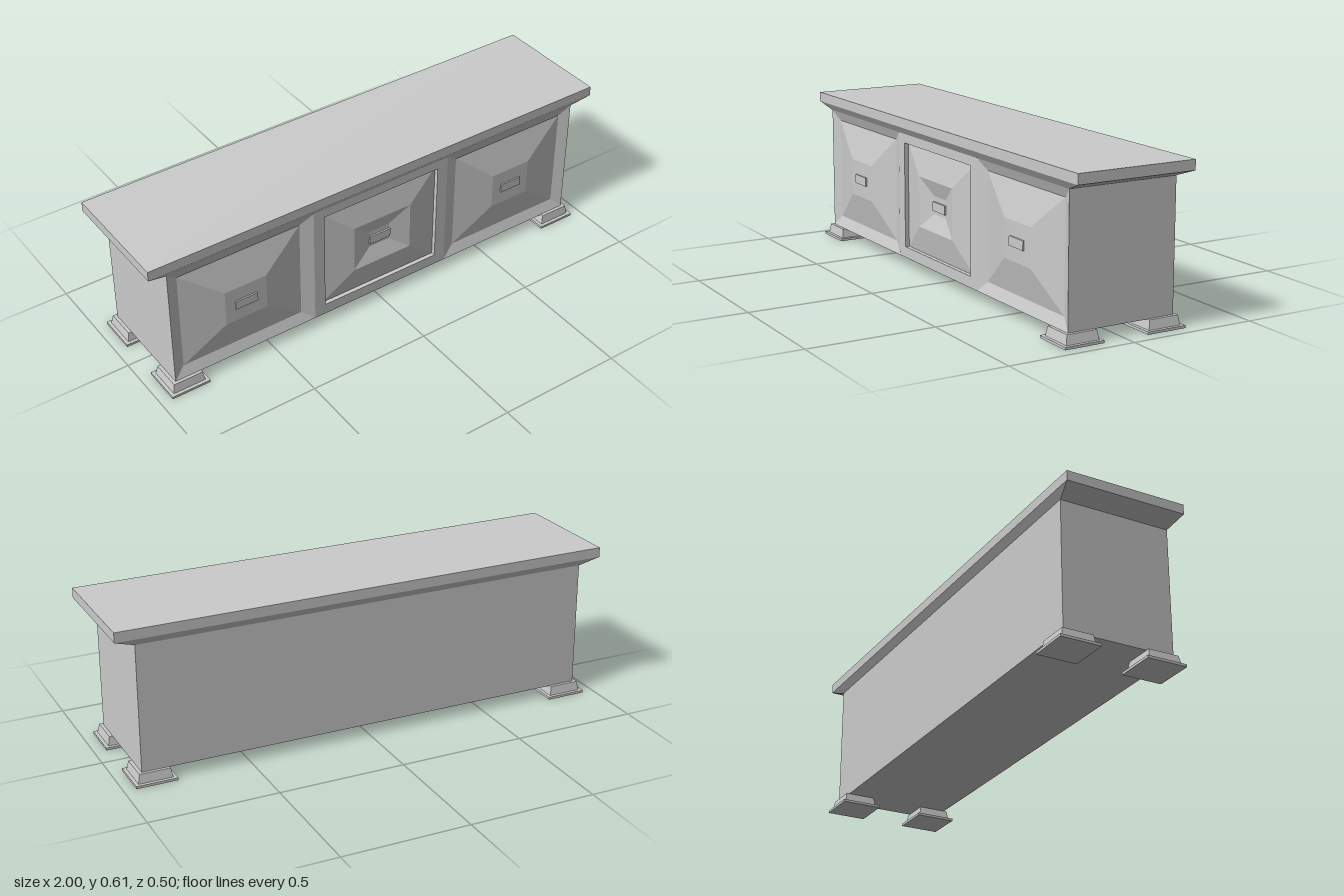
import * as THREE from 'three';

const material = new THREE.MeshStandardMaterial({ color: 0xcccccc, flatShading: true });

// Skin through rectangular rings [cx, cy, halfWidth, halfHeight, z], with optional end caps.
function loft(name, rings, capStart, capEnd) {
  const corners = rings.map(([cx, cy, w, h, z]) => [
    [cx - w, cy - h, z], [cx + w, cy - h, z], [cx + w, cy + h, z], [cx - w, cy + h, z],
  ]);
  const pos = [];
  const quad = (a, b, c, d) => pos.push(...a, ...b, ...c, ...a, ...c, ...d);
  for (let i = 0; i < corners.length - 1; i++) {
    const a = corners[i], b = corners[i + 1];
    for (let k = 0; k < 4; k++) {
      const n = (k + 1) % 4;
      quad(a[k], a[n], b[n], b[k]);
    }
  }
  const first = corners[0], last = corners[corners.length - 1];
  if (capStart) quad(first[3], first[2], first[1], first[0]);
  if (capEnd) quad(...last);
  const geometry = new THREE.BufferGeometry();
  geometry.setAttribute('position', new THREE.Float32BufferAttribute(pos, 3));
  geometry.computeVertexNormals();
  const mesh = new THREE.Mesh(geometry, material);
  mesh.name = name;
  return mesh;
}

// Same skin, stacked upward from rings [halfX, halfZ, y].
function stack(name, rings) {
  const mesh = loft(name, rings.map(([w, d, y]) => [0, 0, w, d, y]), true, true);
  mesh.geometry.rotateX(-Math.PI / 2);
  return mesh;
}

function handle(name, x, z) {
  const mesh = new THREE.Mesh(new THREE.BoxGeometry(0.094, 0.036, 0.012), material);
  mesh.name = name;
  mesh.position.set(x, 0.296, z);
  return mesh;
}

export function createModel() {
  const model = new THREE.Group();
  model.name = 'sideboard';
  const midY = 0.295, front = 0.22;

  // Carcass, open at the front where the panels close it
  model.add(loft('carcass', [
    [0, midY, 0.92, 0.25, -front],
    [0, midY, 0.92, 0.25, front],
  ], true, false));

  // Worktop with a flared moulding below
  model.add(stack('worktop', [
    [0.92, 0.22, 0.545], [1, 0.24, 0.574], [1, 0.24, 0.613],
  ]));

  // Central door: sunk panel, raised ring, sunk middle
  model.add(loft('centreDoor', [
    [0, midY, 0.307, 0.25, front],
    [0, 0.299, 0.26, 0.21, front],
    [0, 0.299, 0.26, 0.21, 0.203],
    [0, 0.299, 0.13, 0.1, 0.225],
    [0, 0.299, 0.045, 0.036, 0.205],
  ], false, true));
  model.add(handle('centreHandle', 0, 0.206));

  for (const side of [-1, 1]) {
    const label = side > 0 ? 'left' : 'right';

    // Side door: sloped frame into a raised field
    model.add(loft(label + 'Door', [
      [side * 0.6135, midY, 0.3065, 0.25, front],
      [side * 0.617, 0.298, 0.257, 0.208, 0.204],
      [side * 0.615, 0.297, 0.088, 0.074, 0.235],
    ], false, true));
    model.add(handle(label + 'Handle', side * 0.615, 0.235));

    // Feet: thin plate under a tapered block
    for (const end of [-1, 1]) {
      const foot = new THREE.Group();
      foot.name = label + (end > 0 ? 'Front' : 'Back') + 'Foot';
      foot.add(stack('footPlate', [[0.08, 0.08, 0], [0.08, 0.08, 0.01]]));
      foot.add(stack('footBlock', [[0.067, 0.067, 0.01], [0.06, 0.061, 0.046]]));
      foot.position.set(side * 0.873, 0, end * 0.171);
      model.add(foot);
    }
  }
  return model;
}
